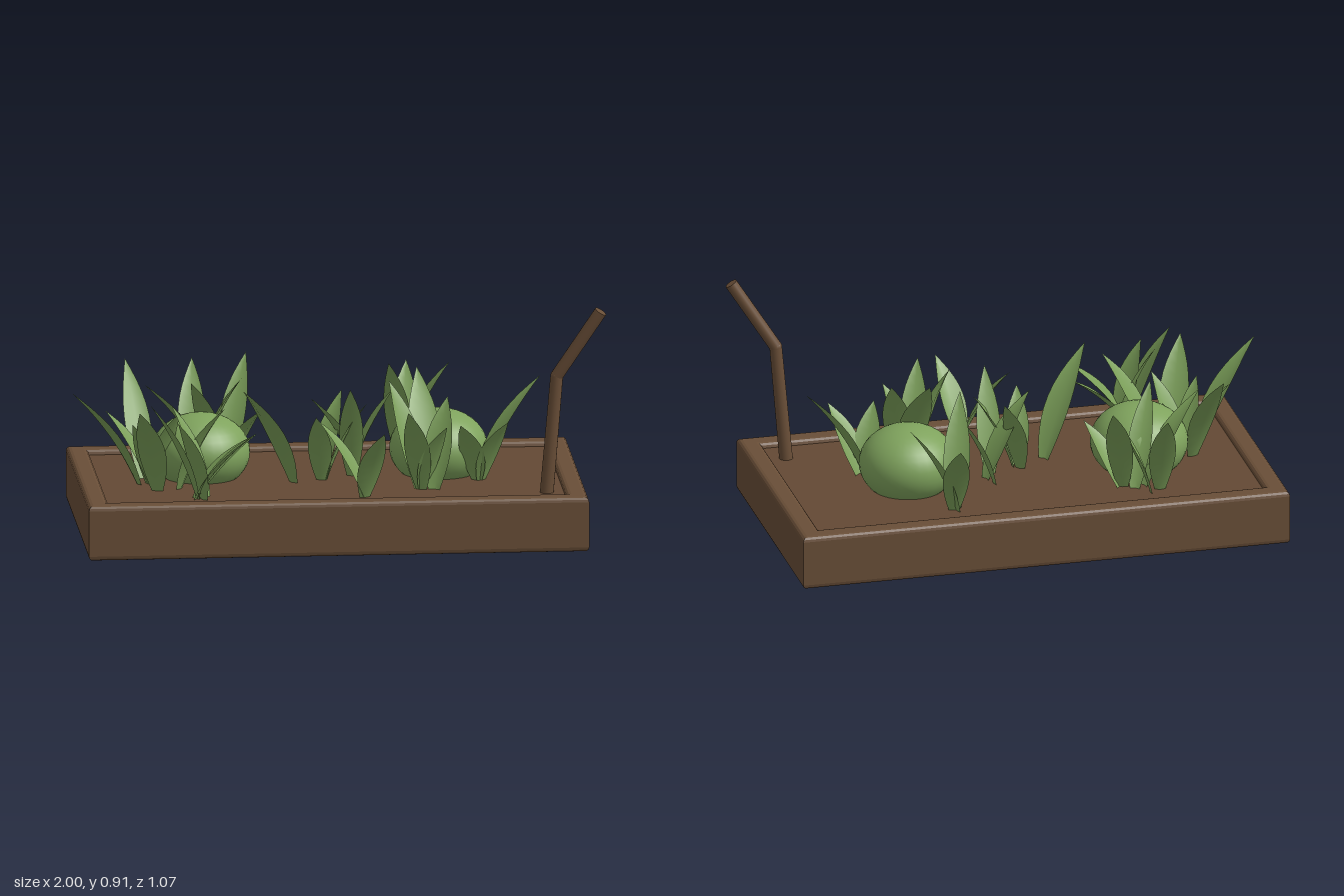
import * as THREE from 'three';

const material = (name, color, side = THREE.FrontSide) => {
  const m = new THREE.MeshStandardMaterial({ color, side });
  m.name = name;
  return m;
};

const SOIL_Y = 0.19;

// Leaves by clump: [base x, base z, tip x, tip y, tip z, width]
const CLUMPS = {
  backLeftPlant: [
    [-0.51, -0.31, -0.49, 0.54, -0.51, 0.1],
    [-0.38, -0.25, -0.29, 0.57, -0.46, 0.1],
    [-0.47, -0.33, -0.32, 0.5, -0.31, 0.09],
    [-0.37, -0.25, -0.26, 0.42, -0.12, 0.09],
    [-0.42, -0.28, -0.53, 0.54, -0.08, 0.09],
    [-0.46, -0.26, -0.7, 0.52, -0.16, 0.09],
  ],
  leftPlant: [
    [-0.71, -0.02, -0.76, 0.59, -0.3, 0.1],
    [-0.74, 0.07, -1.0, 0.57, 0.18, 0.1],
    [-0.7, 0.06, -0.86, 0.46, 0.0, 0.1],
    [-0.67, 0.03, -0.59, 0.48, 0.15, 0.09],
    [-0.7, 0.07, -0.77, 0.44, 0.16, 0.08],
    [-0.68, 0.05, -0.6, 0.4, 0.02, 0.08],
  ],
  frontLeftPlant: [
    [-0.68, 0.19, -0.76, 0.53, 0.37, 0.11],
    [-0.59, 0.16, -0.43, 0.52, 0.27, 0.11],
    [-0.55, 0.33, -0.31, 0.42, 0.27, 0.1],
    [-0.55, 0.34, -0.32, 0.45, 0.39, 0.1],
    [-0.54, 0.33, -0.72, 0.56, 0.37, 0.1],
    [-0.52, 0.35, -0.62, 0.5, 0.42, 0.1],
    [-0.5, 0.31, -0.63, 0.53, 0.24, 0.09],
  ],
  leaningLeaf: [
    [-0.16, 0.09, -0.36, 0.58, 0.25, 0.11],
  ],
  middlePlant: [
    [0.08, -0.1, 0.24, 0.5, -0.11, 0.09],
    [0.1, -0.05, -0.09, 0.5, 0.03, 0.1],
    [0.07, 0.0, 0.05, 0.56, 0.17, 0.09],
    [-0.05, 0.06, -0.08, 0.46, 0.19, 0.09],
    [-0.03, 0.05, 0.12, 0.48, 0.07, 0.09],
    [-0.05, 0.02, 0.04, 0.5, -0.1, 0.09],
  ],
  frontPlant: [
    [0.09, 0.36, -0.08, 0.47, 0.29, 0.1],
    [0.09, 0.36, 0.15, 0.47, 0.53, 0.1],
  ],
  backRightPlant: [
    [0.29, -0.32, 0.32, 0.51, -0.54, 0.1],
    [0.28, -0.33, 0.47, 0.54, -0.36, 0.1],
    [0.28, -0.3, 0.22, 0.59, -0.13, 0.1],
  ],
  rightPlant: [
    [0.53, 0.1, 0.78, 0.57, 0.02, 0.1],
    [0.53, 0.11, 0.46, 0.43, 0.24, 0.1],
    [0.55, 0.11, 0.64, 0.44, 0.24, 0.1],
  ],
  frontRightPlant: [
    [0.34, 0.2, 0.32, 0.59, -0.07, 0.12],
    [0.3, 0.22, 0.2, 0.58, 0.11, 0.11],
    [0.36, 0.25, 0.42, 0.52, 0.13, 0.11],
    [0.32, 0.24, 0.4, 0.45, 0.35, 0.1],
    [0.31, 0.25, 0.25, 0.52, 0.4, 0.1],
  ],
};

// A pointed blade, folded along its midrib and arching from base to tip
function leafGeometry([bx, bz, tx, ty, tz, width]) {
  const base = new THREE.Vector3(bx, SOIL_Y - 0.01, bz);
  const tip = new THREE.Vector3(tx, ty, tz);
  const control = base.clone().lerp(tip, 0.36).setY(SOIL_Y + (ty - SOIL_Y) * 0.55);
  const spine = new THREE.QuadraticBezierCurve3(base, control, tip);
  const across = new THREE.Vector3(tz - bz, 0, bx - tx).normalize();

  const geometry = new THREE.PlaneGeometry(1, 1, 2, 10);
  const p = geometry.attributes.position;
  for (let i = 0; i < p.count; i++) {
    const u = p.getX(i);
    const v = THREE.MathUtils.clamp(p.getY(i) + 0.5, 0, 1);
    const w = width * Math.sin(Math.PI * (0.12 + 0.88 * v));
    const fold = new THREE.Vector3().crossVectors(across, spine.getTangent(v));
    if (fold.y < 0) fold.negate();
    const point = spine.getPoint(v)
      .addScaledVector(across, u * w)
      .addScaledVector(fold, Math.abs(u) * w * 0.3);
    p.setXYZ(i, point.x, point.y, point.z);
  }
  geometry.computeVertexNormals();
  return geometry;
}

// Rectangular border with softly rounded edges
function frameGeometry(w, d, h, border, bevel) {
  const shape = new THREE.Shape();
  const rect = (path, x, y) => path.moveTo(-x, -y).lineTo(x, -y).lineTo(x, y).lineTo(-x, y).closePath();
  rect(shape, w / 2, d / 2);
  const hole = new THREE.Path();
  rect(hole, w / 2 - border, d / 2 - border);
  shape.holes.push(hole);
  const geometry = new THREE.ExtrudeGeometry(shape, {
    depth: h - 2 * bevel, bevelSize: bevel, bevelThickness: bevel,
    bevelOffset: -bevel, bevelSegments: 3,
  });
  return geometry.translate(0, 0, bevel).rotateX(-Math.PI / 2);
}

export function createModel() {
  const model = new THREE.Group();
  model.name = 'gardenBed';
  const wood = material('wood', 0x694e37);
  const soil = material('soil', 0x634934);
  const melonGreen = material('melonGreen', 0x7fa35d);
  const leafGreen = material('leafGreen', 0x7b9f59, THREE.DoubleSide);

  const add = (name, geometry, mat, x = 0, y = 0, z = 0, parent = model) => {
    const mesh = new THREE.Mesh(geometry, mat);
    mesh.name = name;
    mesh.position.set(x, y, z);
    parent.add(mesh);
    return mesh;
  };

  // Planter
  add('frame', frameGeometry(1.885, 1.03, 0.21, 0.08, 0.018), wood, -0.022, 0, 0.01);
  add('soilBed', new THREE.BoxGeometry(1.74, 0.12, 0.885), soil, -0.022, SOIL_Y - 0.06, 0.01);

  // Melons
  for (const [name, x] of [['leftMelon', 0.4], ['rightMelon', -0.495]]) {
    add(name, new THREE.SphereGeometry(1, 32, 20), melonGreen, x, 0.285, -0.045).scale.set(0.185, 0.147, 0.185);
  }

  // Plants
  for (const [name, leaves] of Object.entries(CLUMPS)) {
    const plant = new THREE.Group();
    plant.name = name;
    leaves.forEach((leaf, i) => add(`leaf${i + 1}`, leafGeometry(leaf), leafGreen, 0, 0, 0, plant));
    model.add(plant);
  }

  // Bent stake, capped by short overlapping cylinders
  const joints = [[0.775, 0.17, 0.333], [0.813, 0.64, 0.346], [0.975, 0.895, 0.39]]
    .map((j) => new THREE.Vector3(...j));
  const stake = new THREE.Group();
  stake.name = 'stake';
  for (let i = 0; i < 2; i++) {
    const axis = joints[i + 1].clone().sub(joints[i]);
    const mid = joints[i].clone().lerp(joints[i + 1], 0.5);
    const segment = add(`stakeSegment${i + 1}`,
      new THREE.CylinderGeometry(0.024, i ? 0.024 : 0.026, axis.length(), 16), wood, mid.x, mid.y, mid.z, stake);
    segment.quaternion.setFromUnitVectors(new THREE.Vector3(0, 1, 0), axis.normalize());
  }
  const elbow = joints[1];
  add('stakeElbow', new THREE.SphereGeometry(0.0242, 16, 12), wood, elbow.x, elbow.y, elbow.z, stake);
  model.add(stake);

  return model;
}
